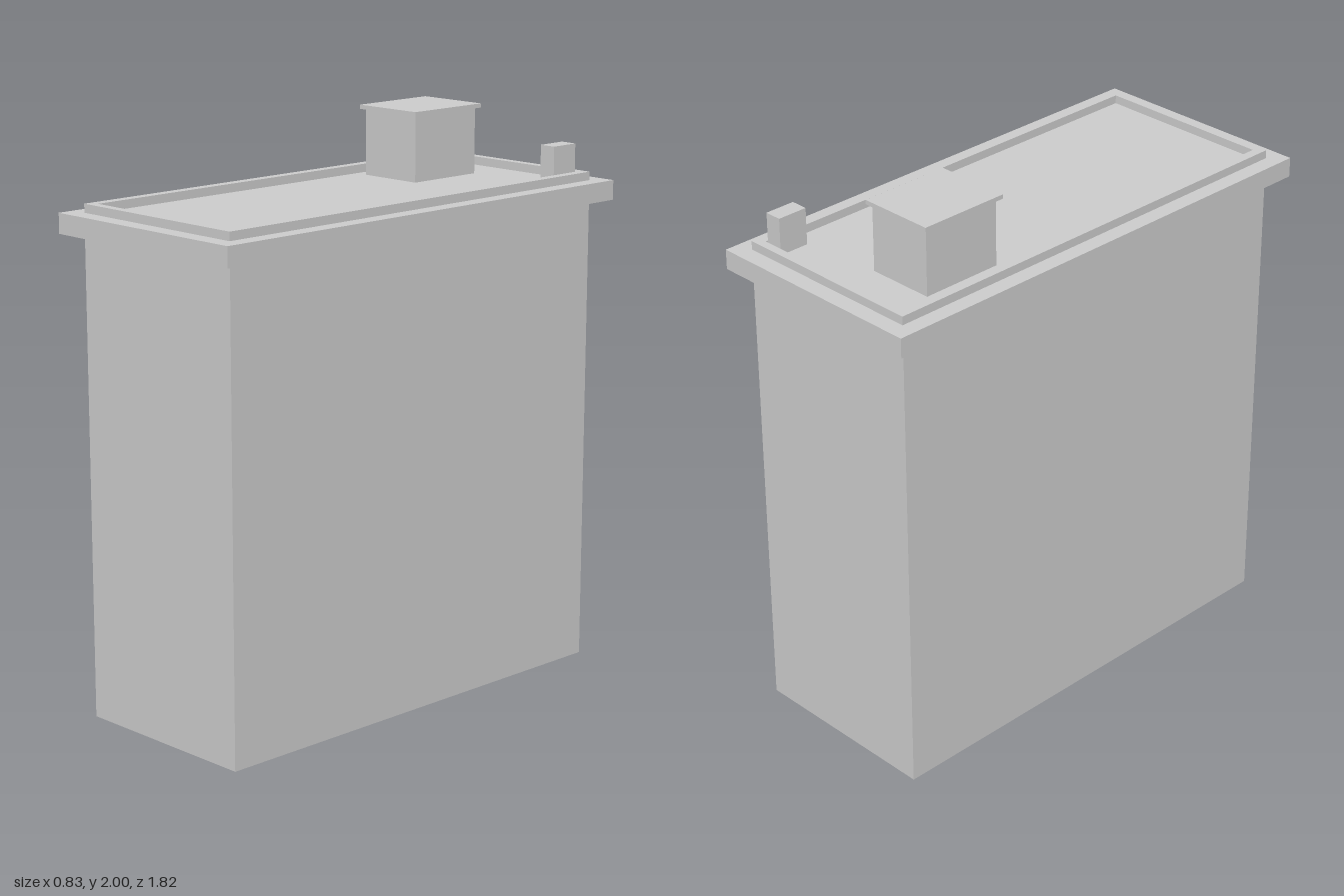
import * as THREE from 'three';

export function createModel() {
  const model = new THREE.Group();
  const grey = new THREE.MeshStandardMaterial({ color: 0xcccccc, side: THREE.DoubleSide });
  grey.name = 'plain grey';

  const add = (name, geometry, x = 0, y = 0, z = 0, parent = model) => {
    const mesh = new THREE.Mesh(geometry, grey);
    mesh.name = name;
    mesh.position.set(x, y, z);
    parent.add(mesh);
    return mesh;
  };
  // Box given by its extents
  const box = (name, x0, x1, y0, y1, z0, z1) =>
    add(name, new THREE.BoxGeometry(x1 - x0, y1 - y0, z1 - z0),
      (x0 + x1) / 2, (y0 + y1) / 2, (z0 + z1) / 2);

  const W = 0.357, D = 0.847;            // half width and depth of the walls
  const eaves = 1.68, deck = 1.75, rim = 1.78;

  // Tower walls: four sheets, open underneath
  const walls = new THREE.Group();
  walls.name = 'walls';
  model.add(walls);
  ['frontWall', 'leftWall', 'backWall', 'rightWall'].forEach((name, i) => {
    const side = i % 2 === 1;
    const angle = i * Math.PI / 2;
    const reach = side ? W : D;
    const wall = add(name, new THREE.PlaneGeometry(2 * (side ? D : W), eaves),
      Math.sin(angle) * reach, eaves / 2, Math.cos(angle) * reach, walls);
    wall.rotation.y = angle;
  });

  // Overhanging cornice, its top forming the roof deck
  box('cornice', -0.415, 0.415, eaves, deck, -0.908, 0.908);

  // Low parapet frame around the deck
  const rect = (Type, w, d) => new Type([
    new THREE.Vector2(-w, -d), new THREE.Vector2(w, -d),
    new THREE.Vector2(w, d), new THREE.Vector2(-w, d),
  ]);
  const frame = rect(THREE.Shape, W, D);
  frame.holes.push(rect(THREE.Path, 0.323, 0.816));
  const parapet = new THREE.ExtrudeGeometry(frame, { depth: rim - deck, bevelEnabled: false });
  parapet.rotateX(-Math.PI / 2);
  add('parapet', parapet, 0, deck, 0);

  // Roof access hut with its lid, and the small chimney
  box('roofHut', -0.275, -0.03, deck, 1.985, -0.668, -0.367);
  box('roofHutLid', -0.29, -0.016, 1.985, 2, -0.683, -0.352);
  box('chimney', 0.26, 0.322, deck, 1.88, -0.808, -0.697);

  return model;
}
